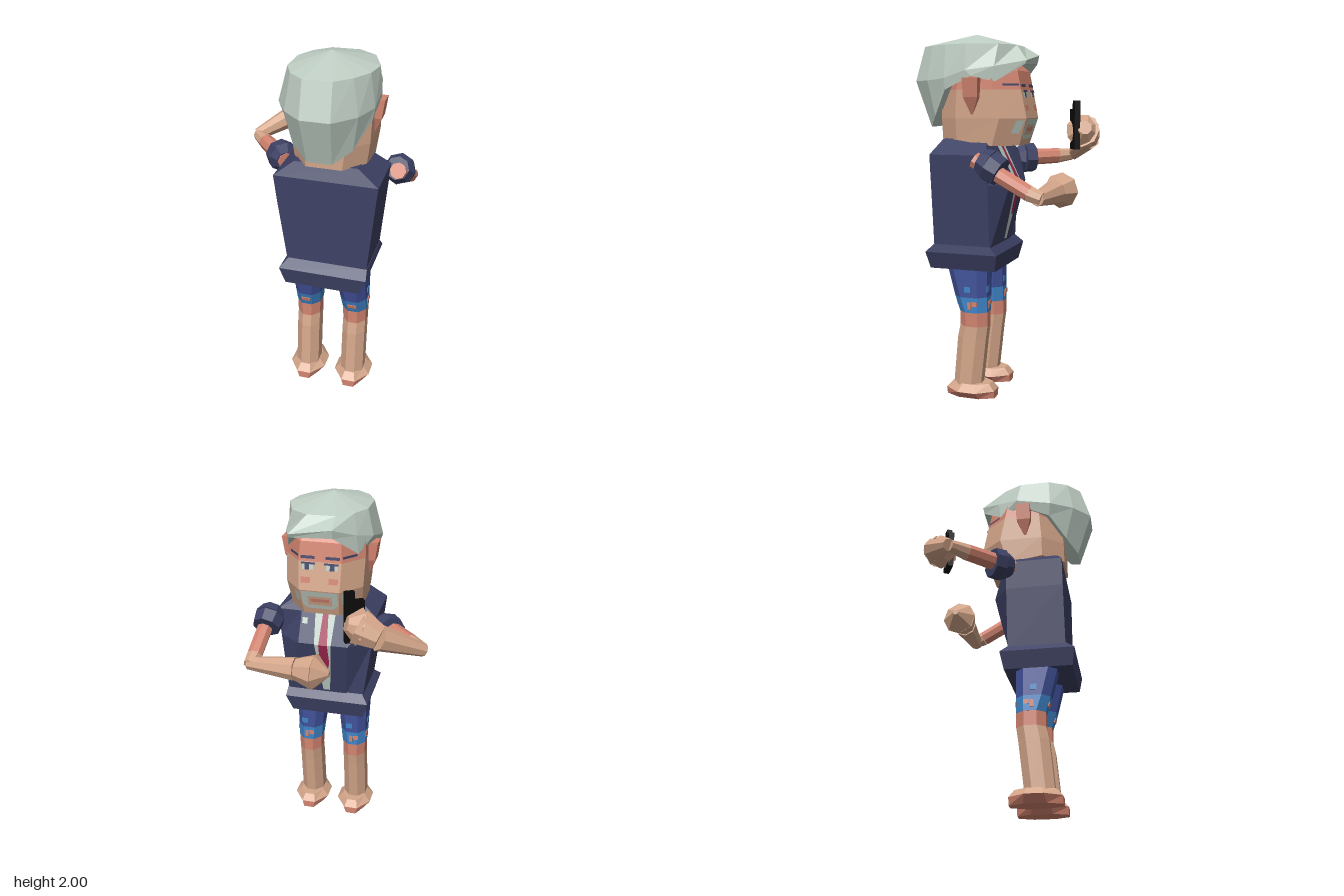
import * as THREE from 'three';

const M = {};
for (const [name, hex] of Object.entries({
  skin: 0xd4a68a, rosySkin: 0xd28470, navyCloth: 0x3d4164, paleHair: 0xbfcec4,
  shortsBlue: 0x41529a, lightBlue: 0x3f84c8, tieRed: 0x9e264c, black: 0x0a0a0a,
})) {
  M[name] = new THREE.MeshStandardMaterial({ color: hex, flatShading: true, side: THREE.DoubleSide });
  M[name].name = name;
}

const CX = 0.095; // body centre line

function add(parent, name, geo, mat) {
  const m = new THREE.Mesh(geo, mat);
  m.name = name;
  parent.add(m);
  return m;
}

// Skin a stack of equal-count rings, each ordered from +x towards +z, bottom first
function loft(rings, bottom, top) {
  const p = [], n = rings[0].length;
  const mid = r => [0, 1, 2].map(k => r.reduce((s, v) => s + v[k], 0) / n);
  const b = bottom || mid(rings[0]), t = top || mid(rings[rings.length - 1]);
  for (let j = 0; j < n; j++) {
    const k = (j + 1) % n, last = rings[rings.length - 1];
    p.push(...b, ...rings[0][j], ...rings[0][k], ...t, ...last[k], ...last[j]);
    for (let i = 0; i + 1 < rings.length; i++) {
      const lo = rings[i], hi = rings[i + 1];
      p.push(...lo[j], ...hi[j], ...lo[k], ...lo[k], ...hi[j], ...hi[k]);
    }
  }
  const g = new THREE.BufferGeometry();
  g.setAttribute('position', new THREE.Float32BufferAttribute(p, 3));
  g.computeVertexNormals();
  return g;
}

// Chamfered rectangle ring; kx, kz are the chamfer sizes, tilt drops the -z end
function oct(y, cx, w, z0, z1, kx, kz, tilt = 0) {
  return [[w, z0 + kz], [w, z1 - kz], [w - kx, z1], [kx - w, z1], [-w, z1 - kz], [-w, z0 + kz], [kx - w, z0], [w - kx, z0]]
    .map(([x, z]) => [cx + x, y + (z < (z0 + z1) / 2 ? -tilt : tilt), z]);
}

// Tapered limb through points [x, y, z, radius]
function limb(parent, name, pts, mat, sides = 8) {
  for (let i = 0; i + 1 < pts.length; i++) {
    const a = new THREE.Vector3(...pts[i]), b = new THREE.Vector3(...pts[i + 1]);
    const d = b.clone().sub(a);
    const m = add(parent, name, new THREE.CylinderGeometry(pts[i + 1][3], pts[i][3], d.length(), sides), mat);
    m.position.copy(a).add(b).multiplyScalar(0.5);
    m.quaternion.setFromUnitVectors(new THREE.Vector3(0, 1, 0), d.normalize());
  }
}

// Flat polygon laid on a surface z = f(x, y), facing -z
function patch(parent, name, pts, f, mat, lift = 0.004) {
  const g = new THREE.ShapeGeometry(new THREE.Shape(pts.map(q => new THREE.Vector2(...q))));
  const p = g.attributes.position;
  for (let i = 0; i < p.count; i++) p.setZ(i, f(p.getX(i), p.getY(i)) - lift);
  g.setIndex([...g.index.array].reverse());
  g.computeVertexNormals();
  return add(parent, name, g, mat);
}
const rect = (x0, x1, y0, y1) => [[x0, y0], [x1, y0], [x1, y1], [x0, y1]];

function lerpTable(t, y, k) {
  let i = 0;
  while (i < t.length - 2 && y > t[i + 1][0]) i++;
  const u = (y - t[i][0]) / (t[i + 1][0] - t[i][0]);
  return t[i][k] + u * (t[i + 1][k] - t[i][k]);
}

function buildLeg(g, s) {
  const cx = CX + s * 0.137;
  const ring = (y, w, z0, z1, dx = 0) => oct(y, cx - s * dx, w, z0, z1, 0.04, 0.045);
  add(g, 'shortsLeg', loft([ring(0.575, 0.074, 0.04, 0.228, 0.004), ring(0.78, 0.085, 0.04, 0.28, 0.012)]), M.shortsBlue);
  add(g, 'shortsCuff', loft([ring(0.49, 0.07, 0.04, 0.2), ring(0.575, 0.074, 0.04, 0.228, 0.004)]), M.lightBlue);
  add(g, 'knee', loft([ring(0.41, 0.066, 0.04, 0.2), ring(0.49, 0.068, 0.04, 0.2)]), M.rosySkin);
  add(g, 'shin', loft([ring(0.07, 0.067, 0.08, 0.24), ring(0.34, 0.066, 0.05, 0.215), ring(0.41, 0.066, 0.04, 0.2)]), M.skin);
  // foot
  const mid = oct(0.042, cx, 0.105, 0, 0.28, 0.065, 0.09);
  add(g, 'sole', loft([oct(0, cx, 0.07, 0, 0.28, 0.04, 0.08), mid]), M.rosySkin);
  add(g, 'footTop', loft([mid, oct(0.08, cx, 0.069, 0.03, 0.245, 0.04, 0.07)]), M.skin);
  // printed pattern on the shorts
  for (const [x, y, w, h, mat] of [[-0.02, 0.54, 0.03, 0.025, M.rosySkin], [0.02, 0.62, 0.035, 0.03, M.lightBlue], [0.01, 0.53, 0.02, 0.04, M.rosySkin]]) {
    const f = add(g, 'shortsPrint', new THREE.BoxGeometry(w, h, 0.006), mat);
    f.position.set(cx + x, y, 0.039);
    const o = add(g, 'shortsPrint', new THREE.BoxGeometry(0.006, h, w), mat);
    o.position.set(cx + s * (0.071 + (y - 0.53) * 0.02), y, 0.12 + x);
  }
  const b = add(g, 'shortsPrint', new THREE.BoxGeometry(0.05, 0.025, 0.006), M.rosySkin);
  b.position.set(cx, 0.535, 0.216);
  b.rotation.x = 0.32;
}

function buildTorso(g) {
  // straight back, belly pushed out in the middle of the front
  const ring = (y, cx, w, zc, zb, zm, m) => [[w, zc], [w, zb], [-w, zb], [-w, zc], [-m, zm], [m, zm]].map(([x, z]) => [cx + x, y, z]);
  add(g, 'jacket', loft([
    ring(0.85, 0.11, 0.22, 0, 0.32, 0, 0.12), ring(1.2, 0.102, 0.262, 0, 0.32, -0.085, 0.14),
    ring(1.36, 0.1, 0.28, 0, 0.32, -0.005, 0.14), ring(1.44, 0.095, 0.17, 0.035, 0.285, 0.035, 0.1)]), M.navyCloth);
  add(g, 'jacketHem', loft([
    ring(0.73, CX, 0.21, -0.02, 0.355, -0.02, 0.1), ring(0.825, 0.098, 0.243, -0.04, 0.37, -0.04, 0.1),
    ring(0.87, 0.114, 0.221, 0, 0.32, 0, 0.1)]), M.navyCloth);
  // shirt and tie, split where the front bends
  const t = [[0.85, 0], [1.2, -0.085], [1.36, -0.005], [1.44, 0.035]];
  const f = (x, y) => lerpTable(t, y, 1);
  const strip = (name, rows, mat, lift) => {
    for (let i = 0; i + 1 < rows.length; i++) {
      const [y0, a0, b0] = rows[i], [y1, a1, b1] = rows[i + 1];
      patch(g, name, [[a0, y0], [b0, y0], [b1, y1], [a1, y1]], f, mat, lift);
    }
  };
  strip('shirt', [[0.88, 0.08, 0.12], [1.2, 0.055, 0.15], [1.36, 0.045, 0.16], [1.43, 0.04, 0.165]], M.paleHair, 0.004);
  strip('tie', [[1.02, 0.085, 0.11], [1.08, 0.07, 0.125], [1.2, 0.075, 0.125], [1.36, 0.085, 0.115], [1.42, 0.08, 0.12]], M.tieRed, 0.008);
  patch(g, 'pocketBadge', rect(0.2, 0.23, 1.3, 1.33), f, M.paleHair);
}

function buildHead(g) {
  // y, half width, front z, back z
  const t = [[1.42, 0.195, -0.12, 0.32], [1.55, 0.21, -0.165, 0.32], [1.7, 0.215, -0.135, 0.31], [1.8, 0.21, -0.115, 0.3], [1.88, 0.16, -0.05, 0.26]];
  const kx = 0.1, kz = 0.12;
  const r = t.map(([y, w, a, b], i) => oct(y, CX, w, a, b, kx, kz, i ? 0 : 0.015));
  add(g, 'face', loft(r.slice(0, 3)), M.skin);
  add(g, 'forehead', loft(r.slice(2)), M.rosySkin);
  const f = (x, y) => lerpTable(t, y, 2) + Math.max(0, Math.abs(x - CX) - (lerpTable(t, y, 1) - kx)) / kx * kz;
  for (const s of [-1, 1]) {
    const q = (name, x0, x1, y0, y1, mat, lift) => patch(g, name, rect(...[CX + s * x0, CX + s * x1].sort((a, b) => a - b), y0, y1), f, mat, lift);
    q('eyebrow', 0.03, 0.105, 1.715, 1.73, M.navyCloth);
    q('eyebrowEnd', 0.12, 0.18, 1.72, 1.732, M.navyCloth);
    q('eyeWhite', 0.035, 0.095, 1.66, 1.69, M.paleHair);
    q('pupil', 0.055, 0.08, 1.66, 1.69, M.navyCloth, 0.007);
    q('eyeLid', 0.025, 0.1, 1.688, 1.698, M.navyCloth, 0.008);
    q('cheek', 0.05, 0.1, 1.59, 1.62, M.rosySkin);
    q('beardSide', 0.065, 0.097, 1.43, 1.545, M.paleHair);
    q('beardCorner', 0.115, 0.145, 1.46, 1.54, M.paleHair);
    // ear
    const ear = loft([[1.57, 0.005, 0.1, 0.11], [1.66, 0.045, 0.06, 0.14], [1.76, 0.06, 0.055, 0.14]]
      .map(([y, o, a, b]) => [[0.205 + o, a], [0.205 + o, b], [0.19, b], [0.19, a]].map(([x, z]) => [x, y, z])));
    if (s < 0) ear.scale(-1, 1, 1);
    if (s < 0) { // restore outward winding after mirroring
      const p = ear.attributes.position;
      ear.setIndex([...Array(p.count).keys()].map(i => i - i % 3 + 2 - i % 3));
      ear.computeVertexNormals();
    }
    add(g, 'ear', ear, M.rosySkin).position.x = CX;
  }
  patch(g, 'moustache', rect(0.03, 0.16, 1.515, 1.545), f, M.paleHair);
  patch(g, 'chinBeard', rect(0.03, 0.16, 1.425, 1.46), f, M.paleHair);
  patch(g, 'mouth', rect(0.045, 0.145, 1.48, 1.5), f, M.rosySkin);

  // swept hair: lower edge, widest ring, crown ring, peak
  const edge = [[.335, 1.77, .1], [.325, 1.7, .25], [.25, 1.56, .34], [.16, 1.5, .4], [.03, 1.5, .4], [-.06, 1.56, .34],
    [-.135, 1.68, .25], [-.135, 1.76, .08], [-.09, 1.73, -.05], [.02, 1.84, -.17], [.25, 1.83, -.17], [.3, 1.74, -.02]];
  const wide = [[.34, 1.8, .13], [.335, 1.76, .25], [.28, 1.75, .37], [.175, 1.75, .485], [.02, 1.75, .485], [-.085, 1.75, .39],
    [-.158, 1.75, .26], [-.145, 1.8, .06], [-.08, 1.83, -.06], [.02, 1.885, -.18], [.25, 1.85, -.18], [.31, 1.82, -.02]];
  const crown = [[.33, .13], [.31, .25], [.25, .35], [.17, .43], [.02, .43], [-.06, .36], [-.11, .25], [-.11, .08], [-.06, -.02],
    [.02, -.095], [.17, -.1], [.27, -.03]].map(([x, z]) => [x, 1.935, z]);
  add(g, 'hair', loft([edge, wide, crown], [CX, 1.8, 0.15], [0.09, 2, 0.155]), M.paleHair);
}

function buildArms(g) {
  // +x arm, bent across the chest
  limb(g, 'upperArm', [[0.425, 1.34, 0.045, 0.045], [0.44, 1.18, -0.25, 0.043]], M.rosySkin);
  limb(g, 'sleeve', [[0.415, 1.34, 0.015, 0.065], [0.418, 1.315, -0.035, 0.087], [0.422, 1.28, -0.095, 0.078]], M.navyCloth);
  limb(g, 'elbow', [[0.44, 1.18, -0.25, 0.043], [0.445, 1.155, -0.32, 0.035]], M.skin);
  limb(g, 'forearm', [[0.46, 1.155, -0.3, 0.036], [0.19, 1.16, -0.315, 0.066]], M.skin);
  limb(g, 'hand', [[0.185, 1.16, -0.315, 0.062], [0.08, 1.16, -0.325, 0.098], [0, 1.16, -0.33, 0.015]], M.skin);
  // -x arm, raised and holding the phone
  limb(g, 'upperArm', [[-0.2, 1.31, 0.04, 0.05], [-0.4, 1.315, -0.175, 0.045]], M.rosySkin);
  limb(g, 'sleeve', [[-0.205, 1.31, 0.04, 0.055], [-0.235, 1.31, -0.01, 0.088], [-0.275, 1.31, -0.06, 0.085]], M.navyCloth);
  limb(g, 'elbow', [[-0.4, 1.315, -0.175, 0.045], [-0.475, 1.32, -0.25, 0.033]], M.skin);
  limb(g, 'forearm', [[-0.48, 1.32, -0.255, 0.035], [-0.27, 1.43, -0.395, 0.068]], M.skin);
  limb(g, 'hand', [[-0.275, 1.43, -0.395, 0.066], [-0.17, 1.475, -0.385, 0.098], [-0.11, 1.495, -0.41, 0.04]], M.skin);
  const phone = new THREE.Group();
  phone.name = 'phone';
  phone.position.set(-0.135, 1.485, -0.347);
  phone.rotation.y = 0.5;
  add(phone, 'phoneBody', new THREE.BoxGeometry(0.1, 0.225, 0.032), M.black);
  add(phone, 'phoneTop', new THREE.BoxGeometry(0.05, 0.05, 0.03), M.black).position.set(0.025, 0.135, 0);
  g.add(phone);
}

export function createModel() {
  const root = new THREE.Group();
  root.name = 'standingMan';
  const part = (name, build) => {
    const g = new THREE.Group();
    g.name = name;
    build(g);
    root.add(g);
  };
  part('rightLeg', g => buildLeg(g, -1));
  part('leftLeg', g => buildLeg(g, 1));
  part('torso', buildTorso);
  part('head', buildHead);
  part('arms', buildArms);
  return root;
}
